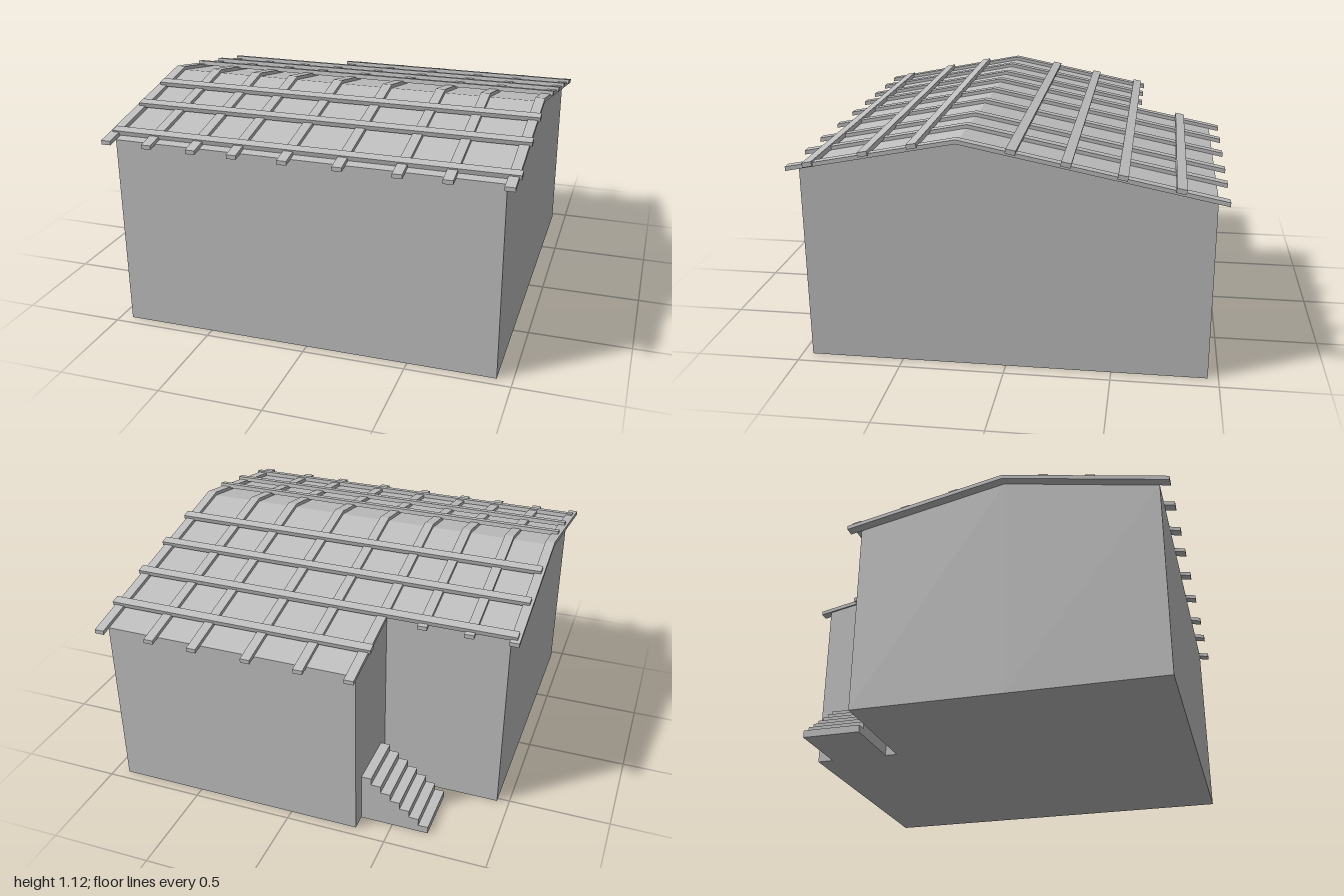
import * as THREE from 'three';

const RIDGE_Z = 0.21, RIDGE_Y = 1.12, SLOPE = 0.197, RAFTER = 0.018;
const L = -0.94, R = 0.925, F = 0.95, B = -0.95; // wall limits
const NX = -0.34, NZ = -0.52;                    // inner corner of the notch

// height of the rafter tops and of the roof deck below them
const topY = z => RIDGE_Y - SLOPE * Math.abs(z - RIDGE_Z);
const deckY = z => topY(z) - RAFTER;

export function createModel() {
  const model = new THREE.Group();
  const grey = new THREE.MeshStandardMaterial({ color: 0xc0c0c0 });
  grey.name = 'plain grey';

  function add(name, geometry) {
    const mesh = new THREE.Mesh(geometry, grey);
    mesh.name = name;
    model.add(mesh);
    return mesh;
  }

  // flat quads, corners counter-clockwise seen from outside
  function quads(list) {
    const pos = [];
    for (const [a, b, c, d] of list) pos.push(...a, ...b, ...c, ...a, ...c, ...d);
    const g = new THREE.BufferGeometry();
    g.setAttribute('position', new THREE.Float32BufferAttribute(pos, 3));
    g.computeVertexNormals();
    return g;
  }

  // walls follow the L-shaped plan up to the roof slope
  const plan = [[L, F], [R, F], [R, RIDGE_Z], [R, B], [NX, B], [NX, NZ], [L, NZ], [L, RIDGE_Z]];
  add('walls', quads(plan.map(([x0, z0], i) => {
    const [x1, z1] = plan[(i + 1) % plan.length];
    return [[x0, 0, z0], [x1, 0, z1], [x1, deckY(z1), z1], [x0, deckY(z0), z0]];
  })));

  // roof deck and floor as rectangles of the plan
  const panel = (x0, x1, zBack, zFront, y) => [
    [x0, y(zFront), zFront], [x1, y(zFront), zFront], [x1, y(zBack), zBack], [x0, y(zBack), zBack]];
  add('roofDeck', quads([
    panel(L, R, RIDGE_Z, F, deckY), panel(L, R, NZ, RIDGE_Z, deckY), panel(NX, R, B, NZ, deckY)]));
  add('floor', quads([
    panel(L, R, NZ, F, () => 0).reverse(), panel(NX, R, B, NZ, () => 0).reverse()]));

  // bent rafters running front to back, short ones over the notch
  const rafterX = [-0.965, -0.755, -0.53, -0.325, -0.08, 0.18, 0.455, 0.68, 0.945];
  rafterX.forEach((x, i) => {
    const zs = [1, RIDGE_Z, i < 3 ? -0.575 : -1];
    const upper = zs.map(z => new THREE.Vector2(-z, topY(z)));
    const lower = zs.map(z => new THREE.Vector2(-z, deckY(z) - 0.002)).reverse();
    const g = new THREE.ExtrudeGeometry(new THREE.Shape([...upper, ...lower]),
      { depth: 0.047, bevelEnabled: false });
    g.rotateY(Math.PI / 2).translate(x - 0.0235, 0, 0);
    add('rafter', g);
  });

  // battens lying across the rafters, tilted with the slope
  for (const z of [0.892, 0.632, 0.407, -0.037, -0.282, -0.532, -0.787]) {
    const x0 = z < -0.6 ? -0.36 : -0.975, x1 = 0.98;
    const batten = add('batten', new THREE.BoxGeometry(x1 - x0, 0.022, 0.046));
    batten.position.set((x0 + x1) / 2, topY(z) + (z > 0.8 ? -0.004 : 0.004), z);
    batten.rotation.x = Math.atan(SLOPE) * Math.sign(z - RIDGE_Z);
  }

  // solid stairs climbing along the notch to the side wall
  const steps = 7, run = 0.34 / steps, rise = 0.036;
  const profile = new THREE.Shape();
  profile.moveTo(-0.68, 0);
  for (let i = 0; i < steps; i++) {
    profile.lineTo(-0.68 + i * run, (i + 1) * rise);
    profile.lineTo(-0.68 + (i + 1) * run, (i + 1) * rise);
  }
  profile.lineTo(NX, 0);
  add('stairs', new THREE.ExtrudeGeometry(profile, { depth: 0.29, bevelEnabled: false })
    .translate(0, 0, -0.87));

  return model;
}
